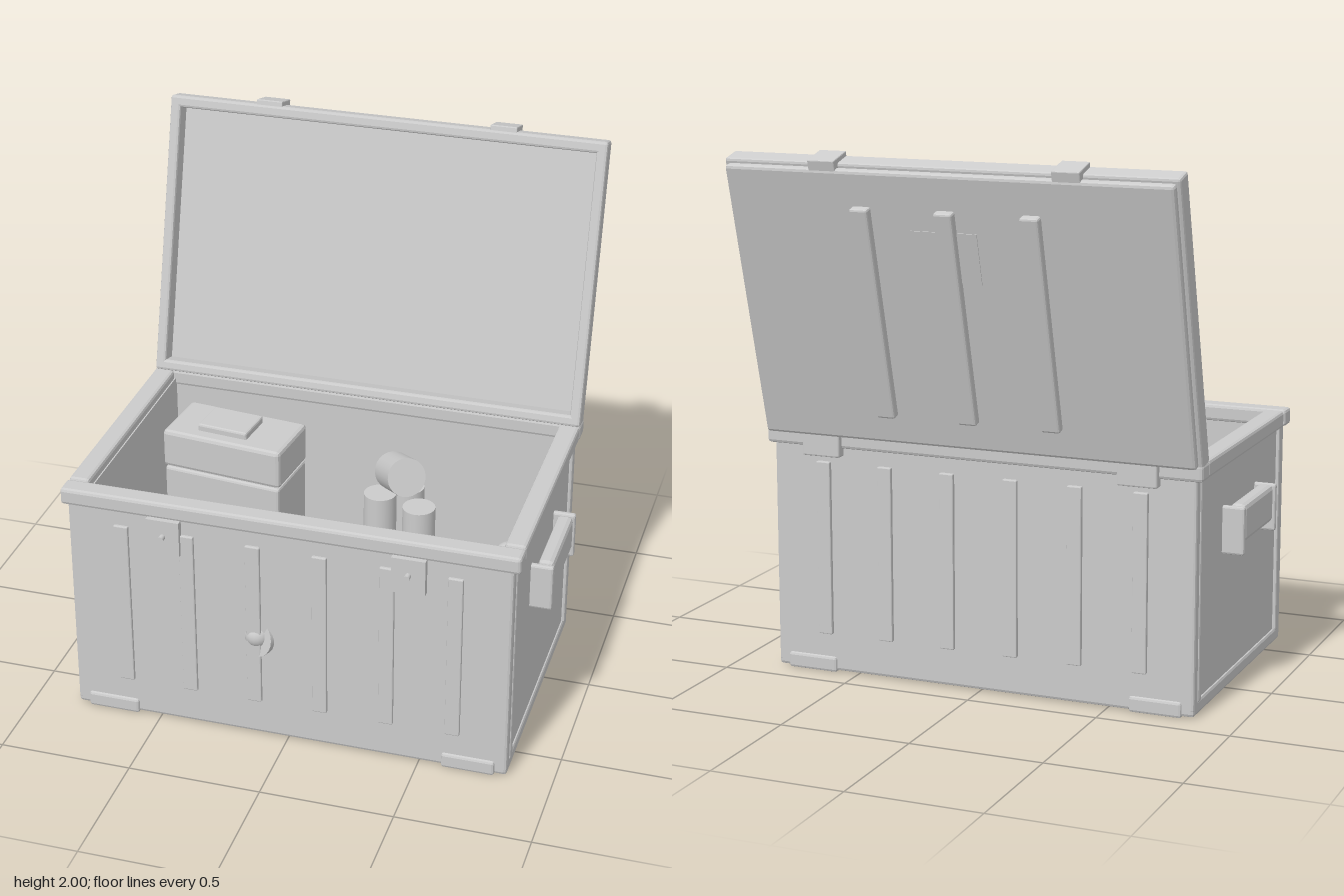
import * as THREE from 'three';
import { RoundedBoxGeometry } from 'three/addons/geometries/RoundedBoxGeometry.js';

const grey = new THREE.MeshStandardMaterial({ color: 0xcccccc, side: THREE.DoubleSide });
const facet = new THREE.MeshStandardMaterial({ color: 0xcccccc, flatShading: true });

function add(parent, name, geometry, x, y, z, material = facet) {
  const mesh = new THREE.Mesh(geometry, material);
  mesh.name = name;
  mesh.position.set(x, y, z);
  parent.add(mesh);
  return mesh;
}

// Box given by its limits, with an optional bevel
function block(parent, name, [x0, x1], [y0, y1], [z0, z1], bevel = 0) {
  const w = x1 - x0, h = y1 - y0, d = z1 - z0;
  const geo = bevel ? new RoundedBoxGeometry(w, h, d, 1, bevel) : new THREE.BoxGeometry(w, h, d);
  return add(parent, name, geo, (x0 + x1) / 2, (y0 + y1) / 2, (z0 + z1) / 2);
}

// Range across a mirrored side: s = 1 or -1
const side = (s, a, b) => (s > 0 ? [a, b] : [-b, -a]);
const around = (c, w) => [c - w / 2, c + w / 2];

// Cylinder between two points
function rod(parent, name, a, b, r0, r1 = r0) {
  const from = new THREE.Vector3(...a), to = new THREE.Vector3(...b);
  const dir = to.clone().sub(from);
  const mid = from.add(to).multiplyScalar(0.5);
  const m = add(parent, name, new THREE.CylinderGeometry(r1, r0, dir.length(), 24), mid.x, mid.y, mid.z, grey);
  m.quaternion.setFromUnitVectors(new THREE.Vector3(0, 1, 0), dir.normalize());
  return m;
}

function buildBody() {
  const body = new THREE.Group();
  body.name = 'body';
  block(body, 'floor', [-0.83, 0.83], [0.005, 0.06], [-0.39, 0.66], 0.012);
  block(body, 'frontWall', [-0.83, 0.83], [0.02, 0.9], [0.605, 0.66], 0.01);
  block(body, 'backWall', [-0.83, 0.83], [0.02, 0.9], [-0.39, -0.335], 0.01);

  // Rim: front and back rails, then side rails between them
  block(body, 'frontRim', [-0.855, 0.855], [0.87, 0.935], [0.59, 0.67], 0.012);
  block(body, 'backRim', [-0.855, 0.855], [0.87, 0.935], [-0.405, -0.325], 0.012);

  for (const s of [1, -1]) {
    block(body, 'sideWall', side(s, 0.77, 0.822), [0.02, 0.9], [-0.35, 0.62]);
    block(body, 'sideRim', side(s, 0.775, 0.853), [0.87, 0.935], [-0.33, 0.585], 0.012);
    for (const z of [0.605, -0.335])
      block(body, 'cornerPost', side(s, 0.8, 0.835), [0.05, 0.87], around(z, 0.035), 0.008);

    // Corner feet
    for (const z of [0.645, -0.375])
      block(body, 'footBracket', side(s, 0.585, 0.785), [0, 0.06], around(z, 0.05), 0.01);

    // Front latch plate with its knob, and rear hinge
    block(body, 'latchPlate', around(s * 0.457, 0.125), [0.735, 0.875], [0.65, 0.687]);
    rod(body, 'latchKnob', [s * 0.457, 0.81, 0.68], [s * 0.457, 0.81, 0.71], 0.011);
    block(body, 'hinge', around(s * 0.62, 0.15), [0.84, 0.935], [-0.43, -0.38], 0.006);

    // Carrying handle
    const handle = new THREE.Group();
    handle.name = 'handle';
    body.add(handle);
    for (const z of [-0.06, 0.325])
      block(handle, 'handleBracket', side(s, 0.815, 0.905), [0.53, 0.71], around(z, 0.025), 0.008);
    block(handle, 'handleGrip', side(s, 0.84, 0.9), [0.57, 0.712], [-0.045, 0.31], 0.018);
  }

  // Vertical ribs front and back
  for (let i = 0; i < 6; i++) {
    const x = -0.625 + i * 0.25;
    block(body, 'frontRib', around(x, 0.055), [0.15, 0.815], [0.64, 0.672], 0.004);
    block(body, 'backRib', around(x, 0.055), [0.15, 0.815], [-0.406, -0.37], 0.004);
  }
  return body;
}

function buildLid() {
  const lid = new THREE.Group();
  lid.name = 'lid';
  const W = 0.853, H = 1.085;
  for (const s of [1, -1])
    block(lid, 'lidSideRail', side(s, 0.812, W), [0, H], [-0.082, 0], 0.01);
  block(lid, 'lidLowerRail', [-W, W], [0, 0.042], [-0.082, 0], 0.01);
  block(lid, 'lidUpperRail', [-W, W], [H - 0.045, H], [-0.082, 0], 0.01);
  block(lid, 'lidPanel', [-0.84, 0.84], [0.015, H - 0.015], [-0.113, -0.075], 0.012);

  // Outside ribs and a thin label plate
  for (const x of [-0.32, 0, 0.32])
    block(lid, 'lidRib', around(x, 0.07), [0.13, 0.94], [-0.145, -0.1], 0.008);
  block(lid, 'lidPlate', [-0.11, 0.14], [0.67, 0.86], [-0.116, -0.105]);

  // Catches on the free edge
  for (const s of [1, -1])
    block(lid, 'lidCatch', around(s * 0.457, 0.103), [H - 0.03, H + 0.018], [-0.11, -0.005], 0.004);

  lid.position.set(0, 0.932, -0.32);
  lid.rotation.x = -Math.PI / 12;
  return lid;
}

// Faceted sack lying along x
function sack(parent, x, y, z, length, r, depth, turn) {
  const h = length / 2;
  const profile = [[0, -h], [r * 0.6, -h], [r, -h + 0.13], [r, h - 0.13], [r * 0.6, h], [0, h]]
    .map(([a, b]) => new THREE.Vector2(a, b));
  const geo = new THREE.LatheGeometry(profile, 7).rotateZ(-Math.PI / 2).scale(1, 1, depth / r);
  add(parent, 'sack', geo, x, y, z).rotation.y = turn;
}

function buildContents() {
  const c = new THREE.Group();
  c.name = 'contents';
  sack(c, -0.375, 0.26, -0.1, 0.77, 0.2, 0.215, -0.05);
  sack(c, 0.375, 0.26, -0.1, 0.7, 0.2, 0.18, -0.08);

  // Tall case with a lid seam and a top plate
  const tall = new THREE.Group();
  tall.name = 'case';
  tall.position.set(-0.445, 0, -0.09);
  tall.rotation.y = -0.11;
  block(tall, 'caseBase', [-0.24, 0.24], [0.38, 0.695], [-0.13, 0.13], 0.01);
  block(tall, 'caseTop', [-0.245, 0.245], [0.7, 0.855], [-0.133, 0.133], 0.015);
  block(tall, 'casePlate', [-0.12, 0.085], [0.845, 0.882], [-0.08, 0.08], 0.008);
  c.add(tall);

  // Low boxes near the front
  for (const [x, z, w, d, turn] of [[-0.455, 0.34, 0.49, 0.345, 0.11], [0.35, 0.37, 0.52, 0.335, -0.17]]) {
    const box = add(c, 'smallBox', new RoundedBoxGeometry(w, 0.26, d, 1, 0.015), x, 0.2, z);
    box.rotation.set(0.08, turn, 0);
  }

  // Tins, with one leaning on top
  for (const [x, z] of [[0.22, -0.2], [0.13, -0.12], [0.3, -0.06]])
    rod(c, 'tin', [x, 0.42, z], [x, 0.64, z], 0.063);
  rod(c, 'leaningTin', [0.16, 0.7, -0.2], [0.25, 0.76, -0.06], 0.075);

  // Balls
  for (const [x, y, z] of [[0.645, 0.44, -0.12], [0.62, 0.36, 0.38]])
    add(c, 'ball', new THREE.SphereGeometry(0.063, 20, 14), x, y, z, grey);

  // Bottles and a torch
  rod(c, 'bottle', [0.06, 0.33, 0.2], [-0.125, 0.42, 0.65], 0.055, 0.075);
  add(c, 'bottleEnd', new THREE.SphereGeometry(0.05, 20, 14), -0.12, 0.425, 0.632, grey);
  rod(c, 'flask', [0.36, 0.52, 0.08], [0.455, 0.36, 0.6], 0.045, 0.065);
  rod(c, 'torchHandle', [-0.36, 0.4, 0.32], [0, 0.45, 0.21], 0.035);
  rod(c, 'torchHead', [-0.05, 0.44, 0.22], [0.04, 0.455, 0.19], 0.048);
  return c;
}

export function createModel() {
  const model = new THREE.Group();
  model.name = 'storageChest';
  model.add(buildBody(), buildLid(), buildContents());
  return model;
}
